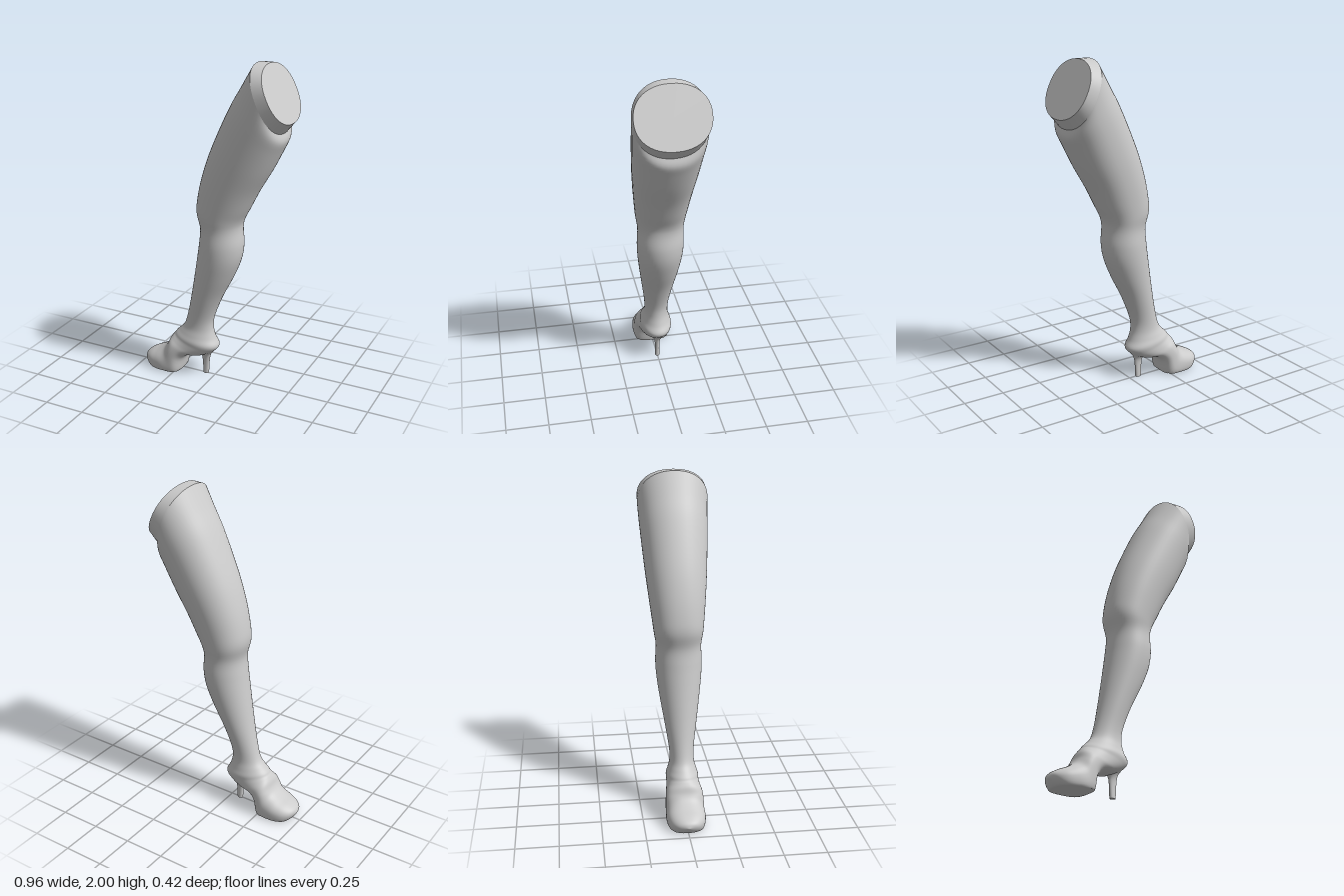
import * as THREE from 'three';
import { mergeVertices } from 'three/addons/utils/BufferGeometryUtils.js';

const SIDES = 48;
const material = new THREE.MeshStandardMaterial({ color: 0xcccccc });

// Section: [frontX, frontY, backX, backY, halfWidth, roundness (2 = ellipse, more = boxier)].
// Sections run from the top of the part to its end; steps > 1 smooths between them.
function loft(name, sections, steps) {
  const rings = [];
  const last = sections.length - 1;
  const at = (i) => sections[Math.min(Math.max(i, 0), last)];
  for (let i = 0; i < last; i++) {
    for (let s = 0; s < steps; s++) {
      const t = s / steps;
      rings.push(at(i).map((p1, k) => {
        const p0 = at(i - 1)[k], p2 = at(i + 1)[k], p3 = at(i + 2)[k];
        if (steps === 1) return p1;
        return 0.5 * (2 * p1 + (p2 - p0) * t + (2 * p0 - 5 * p1 + 4 * p2 - p3) * t * t
          + (3 * p1 - p0 - 3 * p2 + p3) * t * t * t);
      }));
    }
  }
  rings.push(sections[last]);

  const positions = [], index = [];
  const bend = (v, n) => Math.sign(v) * Math.pow(Math.abs(v), 2 / n);
  rings.forEach(([fx, fy, bx, by, w, n], i) => {
    for (let j = 0; j < SIDES; j++) {
      const a = (j / SIDES) * Math.PI * 2;
      const c = bend(Math.cos(a), n), s = bend(Math.sin(a), n);
      positions.push(
        (fx + bx) / 2 + c * (fx - bx) / 2,
        Math.max(0, (fy + by) / 2 + c * (fy - by) / 2), // flat on the ground
        s * w
      );
      if (i < rings.length - 1) {
        const k = (j + 1) % SIDES, p = i * SIDES, q = p + SIDES;
        index.push(p + j, q + j, p + k, p + k, q + j, q + k);
      }
    }
  });
  let geometry = new THREE.BufferGeometry();
  geometry.setAttribute('position', new THREE.Float32BufferAttribute(positions, 3));
  geometry.setIndex(index);
  geometry = mergeVertices(geometry, 1e-5);
  geometry.computeVertexNormals();
  const mesh = new THREE.Mesh(geometry, material);
  mesh.name = name;
  return mesh;
}

export function createModel() {
  const group = new THREE.Group();
  group.name = 'leg';

  const thigh = [
    [0.26, 2.0, 0.43, 1.62, 0.212, 2.2],
    [0.19, 1.88, 0.44, 1.57, 0.207, 2.2],
    [0.11, 1.74, 0.41, 1.5, 0.2, 2.2],
    [0.0, 1.5, 0.35, 1.38, 0.186, 2.2],
    [-0.06, 1.33, 0.275, 1.25, 0.171, 2.2],
    [-0.093, 1.19, 0.22, 1.14, 0.157, 2.2],
    [-0.1, 1.1, 0.18, 1.06, 0.147, 2.2],
  ];
  const calf = [
    [-0.08, 1.0, 0.17, 1.0, 0.136, 2.1],
    [-0.09, 0.9, 0.178, 0.9, 0.14, 2],
    [-0.105, 0.8, 0.163, 0.8, 0.134, 2],
    [-0.125, 0.68, 0.115, 0.68, 0.118, 2],
    [-0.15, 0.54, 0.045, 0.54, 0.096, 2],
    [-0.178, 0.41, -0.008, 0.4, 0.076, 2],
  ];
  // Ankle, heel cup, arch, ball and toe: the sections turn to face forward
  const foot = [
    [-0.203, 0.33, -0.016, 0.32, 0.073, 2],
    [-0.235, 0.29, 0.0, 0.255, 0.085, 2],
    [-0.26, 0.265, 0.022, 0.205, 0.096, 2.1],
    [-0.27, 0.25, -0.01, 0.165, 0.096, 2.2],
    [-0.28, 0.238, -0.08, 0.13, 0.1, 2.3],
    [-0.295, 0.215, -0.16, 0.118, 0.108, 2.4],
    [-0.31, 0.178, -0.205, 0.08, 0.113, 2.5],
    [-0.335, 0.148, -0.232, -0.03, 0.115, 2.5],
    [-0.38, 0.12, -0.32, -0.04, 0.115, 2.5],
    [-0.43, 0.098, -0.4, -0.03, 0.098, 2.4],
    [-0.468, 0.074, -0.45, 0.005, 0.06, 2.2],
    [-0.48, 0.047, -0.48, 0.047, 0, 2],
  ];
  group.add(loft('legAndFoot', [...thigh, ...calf, ...foot], 5));

  // Raised lip and flat cut face at the top of the thigh
  const rim = [0.33, 2.0, 0.48, 1.68, 0.21, 2.2];
  group.add(loft('thighLip', [rim, thigh[0]], 1));
  group.add(loft('thighCap', [[0.405, 1.84, 0.405, 1.84, 0, 2.2], rim], 1));

  // Slim heel, flaring up into the sole
  const tip = [-0.08, 0, -0.045, 0, 0.014, 2.4];
  group.add(loft('heel', [
    [-0.14, 0.19, 0.012, 0.19, 0.075, 2],
    [-0.115, 0.155, -0.008, 0.165, 0.045, 2],
    [-0.092, 0.12, -0.03, 0.135, 0.022, 2],
    [-0.085, 0.08, -0.039, 0.09, 0.014, 2.2],
    tip,
  ], 5));
  group.add(loft('heelTip', [tip, [-0.0625, 0, -0.0625, 0, 0, 2]], 1));

  return group;
}
